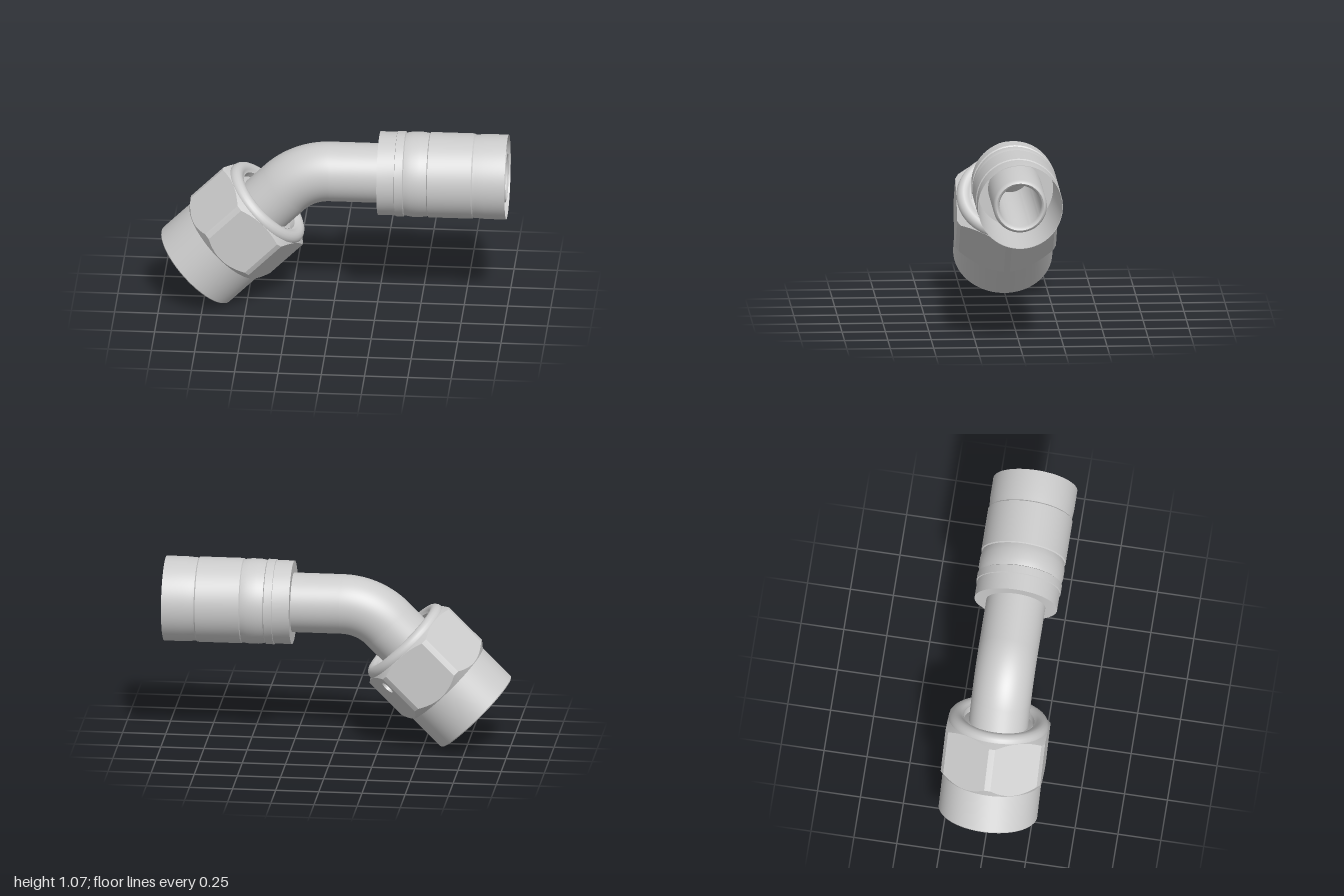
import * as THREE from 'three';
import { toCreasedNormals } from 'three/addons/utils/BufferGeometryUtils.js';

const material = new THREE.MeshStandardMaterial({ color: 0xcccccc, side: THREE.DoubleSide });
const AXIS_Y = 0.826;               // height of the straight axis
const BEND_X = -0.022, BEND_R = 0.375; // start and radius of the 45 degree bend
const PIPE = 0.172, BORE = 0.12;
const APOTHEM = 0.29, CORNER = 0.325; // hexagon flats and turned-down corners

function add(parent, name, geometry) {
  const mesh = new THREE.Mesh(geometry, material);
  mesh.name = name;
  parent.add(mesh);
  return mesh;
}

// Turned part: [radius, height] pairs, outside going up, inside going down
function turned(parent, name, profile) {
  const points = profile.map(([r, y]) => new THREE.Vector2(r, y));
  return add(parent, name, toCreasedNormals(new THREE.LatheGeometry(points, 72), 0.6));
}

// Four heights and radii of the chamfered hexagon at an offset angle from a flat's middle
function hexRows(d) {
  const r = Math.min(APOTHEM / Math.cos(d), CORNER);
  const low = 0.235 + (r - 0.285) * 1.2;
  const high = 0.58 - (r - 0.28) * 0.71;
  return [[0.285, 0.235], [r, low], [r, high], [0.28, 0.58]];
}

function buildHexagon(nut) {
  const edge = Math.acos(APOTHEM / CORNER), steps = 16;
  const offsets = [];
  for (let i = 0; i <= steps; i++) offsets.push(-edge + (2 * edge * i) / steps);
  offsets.push(Math.PI / 6);

  // Bands around the hexagon; the drilled flat is left open
  const columns = [];
  for (let k = 0; k < 6; k++) {
    for (const d of offsets) {
      const a = Math.PI / 6 + (k * Math.PI) / 3 + d;
      columns.push(hexRows(d).map(([r, y]) => [r * Math.cos(a), y, -r * Math.sin(a)]));
    }
  }
  const positions = [];
  columns.forEach((c, i) => {
    const n = columns[(i + 1) % columns.length];
    for (let j = 0; j < 3; j++) {
      if (j === 1 && i < steps) continue;
      positions.push(...c[j], ...n[j], ...n[j + 1], ...c[j], ...n[j + 1], ...c[j + 1]);
    }
  });
  const geometry = new THREE.BufferGeometry();
  geometry.setAttribute('position', new THREE.Float32BufferAttribute(positions, 3));
  add(nut, 'hexagon', toCreasedNormals(geometry, 0.2));

  // Drilled flat with its blind hole
  const drilled = new THREE.Group();
  drilled.name = 'drilledFlat';
  drilled.rotation.y = (2 * Math.PI) / 3;
  drilled.position.set(APOTHEM * Math.cos(Math.PI / 6), 0, -APOTHEM * 0.5);
  nut.add(drilled);
  const flat = offsets.slice(0, steps + 1);
  const rim = (row) => flat.map((d) => new THREE.Vector2(APOTHEM * Math.tan(d), hexRows(d)[row][1]));
  const shape = new THREE.Shape([...rim(1), ...rim(2).reverse()]);
  const hx = 0.083, hy = 0.485, hr = 0.04, depth = 0.05;
  shape.holes.push(new THREE.Path().absarc(hx, hy, hr, 0, Math.PI * 2, true));
  add(drilled, 'flatFace', new THREE.ShapeGeometry(shape, 24));
  const wall = new THREE.CylinderGeometry(hr, hr, depth, 48, 1, true).rotateX(Math.PI / 2);
  add(drilled, 'holeWall', wall).position.set(hx, hy, -depth / 2);
  add(drilled, 'holeBottom', new THREE.CircleGeometry(hr, 48)).position.set(hx, hy, -depth);
}

export function createModel() {
  const model = new THREE.Group();
  model.name = 'angledHoseFitting';

  // Straight leg, built upright and laid along +x
  const straight = new THREE.Group();
  straight.name = 'straightLeg';
  straight.rotation.z = -Math.PI / 2;
  straight.position.y = AXIS_Y;
  model.add(straight);
  turned(straight, 'pipeAndNipple', [
    [PIPE, BEND_X], [PIPE, 0.4], [0.155, 0.4], [0.155, 0.965], [0.151, 0.982], [0.145, 0.993],
    [0.1375, 0.997], [0.13, 0.993], [0.124, 0.982], [BORE, 0.965], [BORE, BEND_X],
  ]);
  turned(straight, 'crimpShell', [
    [PIPE, 0.26], [0.241, 0.26], [0.241, 0.36], [0.246, 0.362], [0.246, 0.408], [0.238, 0.413],
    [0.241, 0.425], [0.246, 0.455], [0.246, 0.505], [0.241, 0.54], [0.239, 0.547], [0.246, 0.552],
    [0.246, 0.805], [0.24, 0.812], [0.241, 0.83], [0.245, 0.88], [0.245, 1], [0.242, 1],
    [0.22, 0.45], [0.155, 0.45],
  ]);

  // Bend, outer skin and bore
  const bend = new THREE.Group();
  bend.name = 'bend';
  bend.position.set(BEND_X, AXIS_Y - BEND_R, 0);
  bend.rotation.z = Math.PI / 2;
  model.add(bend);
  for (const [name, r] of [['bendSkin', PIPE], ['bendBore', BORE]]) {
    add(bend, name, new THREE.TorusGeometry(BEND_R, r, 72, 32, Math.PI / 4));
  }

  // Swivel nut end, tilted 45 degrees with its open face at the origin of the group
  const nut = new THREE.Group();
  nut.name = 'swivelNut';
  nut.rotation.z = -Math.PI / 4;
  nut.position.set(-0.8, 0.203, 0);
  model.add(nut);
  const bendEnd = new THREE.Vector2(
    BEND_X - BEND_R * Math.SQRT1_2 + 0.8,
    AXIS_Y - BEND_R + BEND_R * Math.SQRT1_2 - 0.203,
  ).length();
  turned(nut, 'seatNose', [
    [BORE, bendEnd], [BORE, 0.15], [0.15, 0.15], [0.235, 0.25], [0.235, 0.46], [0.2, 0.5],
    [0.2, 0.57], [PIPE, 0.575], [PIPE, bendEnd],
  ]);
  turned(nut, 'nutSleeve', [
    [0.205, 0.6], [0.205, 0.53], [0.25, 0.48], [0.25, 0.03], [0.272, 0], [0.281, 0],
    [0.286, 0.006], [0.286, 0.26],
  ]);
  turned(nut, 'nutCollar', [
    [0.28, 0.555], [0.288, 0.567], [0.29, 0.58], [0.286, 0.595], [0.277, 0.608], [0.264, 0.617],
    [0.25, 0.62], [0.235, 0.617], [0.222, 0.61], [0.213, 0.6], [0.205, 0.598],
  ]);
  buildHexagon(nut);
  return model;
}
